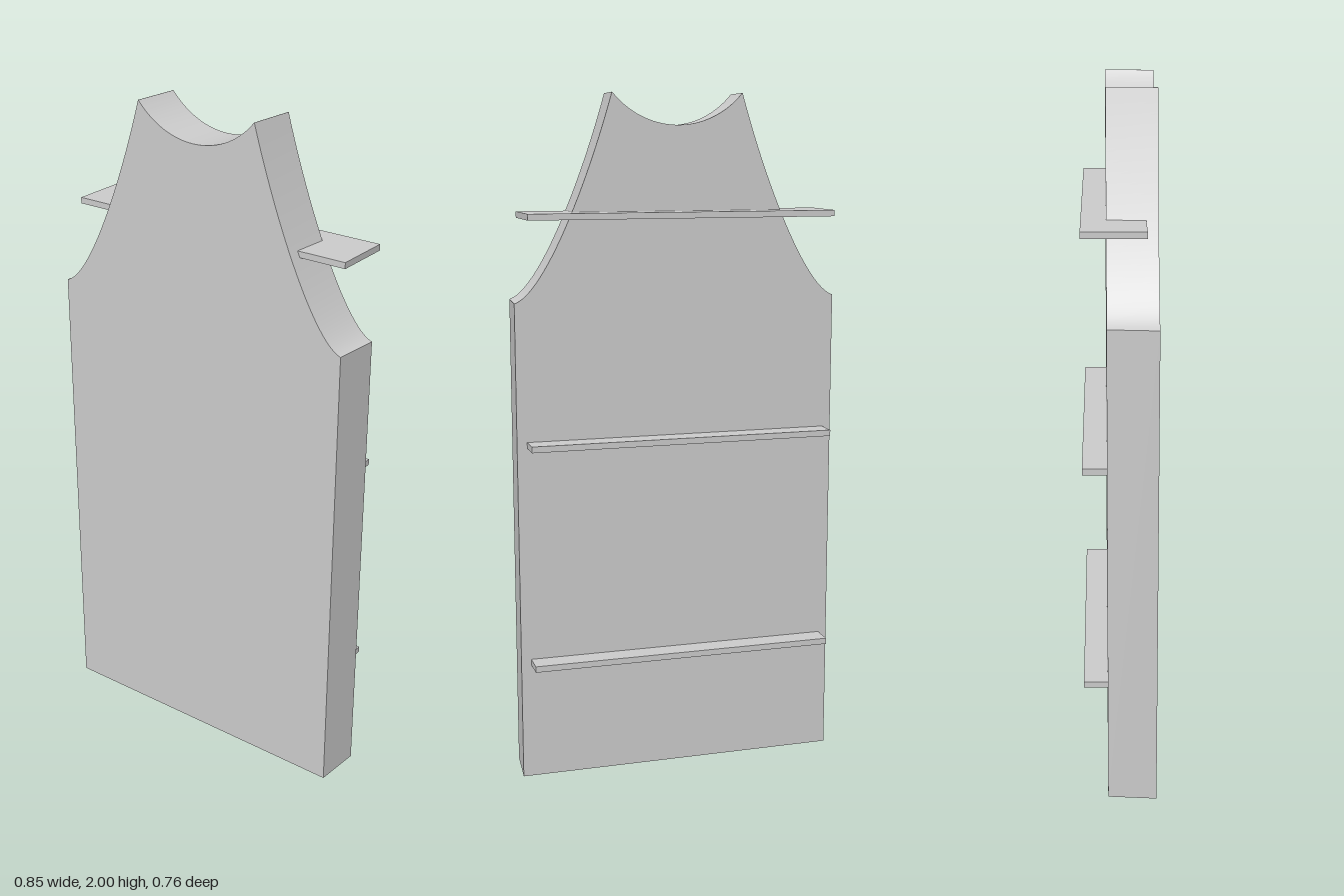
import * as THREE from 'three';
import { toCreasedNormals } from 'three/addons/utils/BufferGeometryUtils.js';

export function createModel() {
  const model = new THREE.Group();
  model.name = 'shelfBoard';
  const grey = new THREE.MeshStandardMaterial({ color: 0xcccccc });
  grey.name = 'plain grey';

  // The whole unit stands turned about the vertical axis
  const unit = new THREE.Group();
  unit.name = 'turnedUnit';
  unit.rotation.y = -0.717;
  model.add(unit);

  // Back board outline: straight sides, swept shoulders, scooped crest
  const half = 0.481, crest = 0.193, shoulder = 1.415, scoop = 0.25, scoopY = 2.16;
  const end = Math.asin((scoopY - 2) / scoop);
  const outline = new THREE.Shape();
  outline.moveTo(-half, 0);
  outline.lineTo(half, 0);
  outline.lineTo(half, shoulder);
  outline.bezierCurveTo(0.395, 1.44, 0.265, 1.75, crest, 2);
  outline.absarc(0, scoopY, scoop, -end, -Math.PI + end, true);
  outline.lineTo(-crest, 2);
  outline.bezierCurveTo(-0.265, 1.75, -0.395, 1.44, -half, shoulder);
  outline.closePath();

  const thickness = 0.14;
  const solid = new THREE.ExtrudeGeometry(outline, { depth: thickness, bevelEnabled: false, curveSegments: 24 });
  // Slight sideways slant through the thickness
  const pos = solid.attributes.position;
  for (let i = 0; i < pos.count; i++) {
    pos.setX(i, pos.getX(i) + 0.007 - 0.012 * pos.getZ(i) / thickness);
  }
  const board = new THREE.Mesh(toCreasedNormals(solid, 0.5), grey);
  board.name = 'backBoard';
  board.position.z = -0.051;
  unit.add(board);

  // Three equal shelves let into the board
  const shelfGeometry = new THREE.BoxGeometry(0.907, 0.018, 0.175);
  ['lowerShelf', 'middleShelf', 'upperShelf'].forEach((name, i) => {
    const shelf = new THREE.Mesh(shelfGeometry, grey);
    shelf.name = name;
    shelf.position.set(0.005, 0.355 + i * 0.652, -0.0315);
    unit.add(shelf);
  });

  return model;
}
